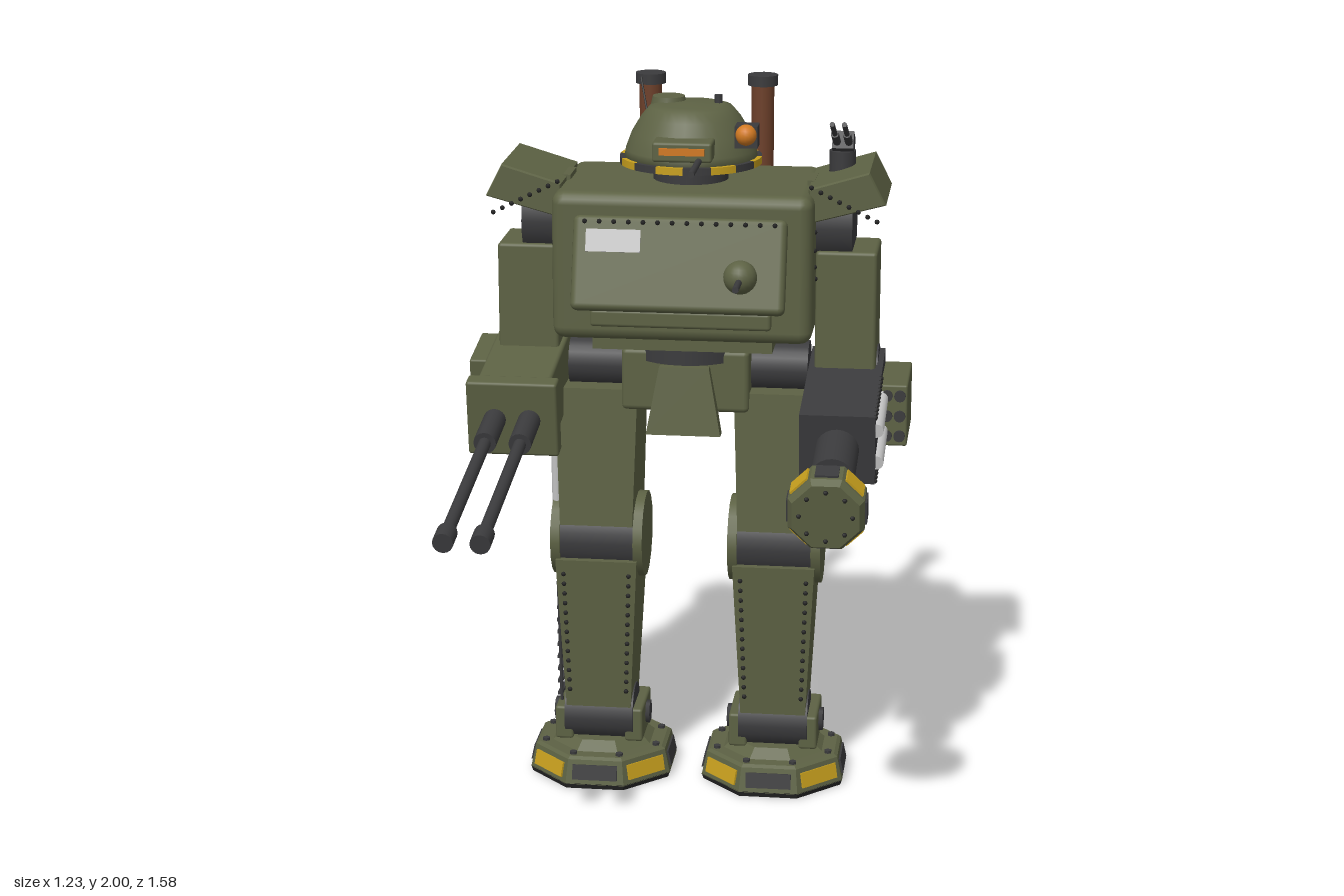
import * as THREE from 'three';
import { RoundedBoxGeometry } from 'three/addons/geometries/RoundedBoxGeometry.js';

const mat = (name, color) => Object.assign(new THREE.MeshStandardMaterial({ color }), { name });
const olive = mat('olive', 0x5d6244), dark = mat('gunmetal', 0x3b3b3d), black = mat('black', 0x242424);
const yellow = mat('yellow', 0xc8a01e), steel = mat('steel', 0xc6c6c6), rust = mat('rust', 0x6d402a);
const copper = mat('copper', 0xa0633e), orange = mat('orange', 0xd27a22);

// ---- helpers ----
function add(parent, name, geo, m, x = 0, y = 0, z = 0) {
  const mesh = new THREE.Mesh(geo, m);
  mesh.name = name;
  mesh.position.set(x, y, z);
  parent.add(mesh);
  return mesh;
}
function group(parent, name, x = 0, y = 0, z = 0) {
  const g = new THREE.Group();
  g.name = name;
  g.position.set(x, y, z);
  parent.add(g);
  return g;
}
// box given by its limits
function box(p, name, m, x0, x1, y0, y1, z0, z1, r = 0) {
  const w = Math.abs(x1 - x0), h = y1 - y0, d = z1 - z0;
  const geo = r ? new RoundedBoxGeometry(w, h, d, 2, r) : new THREE.BoxGeometry(w, h, d);
  return add(p, name, geo, m, (x0 + x1) / 2, (y0 + y1) / 2, (z0 + z1) / 2);
}
// cylinder between two points
function rod(p, name, m, a, b, r, r2 = r, n = 16) {
  const A = new THREE.Vector3(...a), B = new THREE.Vector3(...b), d = B.clone().sub(A);
  const mesh = add(p, name, new THREE.CylinderGeometry(r2, r, d.length(), n), m);
  mesh.position.copy(A).add(B).multiplyScalar(0.5);
  mesh.quaternion.setFromUnitVectors(new THREE.Vector3(0, 1, 0), d.normalize());
  return mesh;
}
// box whose lower end has its own size and z shift
function taper(p, name, m, x, yTop, yBot, top, bot) {
  const geo = new THREE.BoxGeometry(1, 1, 1), v = geo.attributes.position;
  for (let i = 0; i < v.count; i++) {
    const [w, z0, z1] = v.getY(i) > 0 ? top : bot;
    v.setXYZ(i, v.getX(i) * w, v.getY(i) > 0 ? yTop : yBot, v.getZ(i) > 0 ? z1 : z0);
  }
  geo.computeVertexNormals();
  return add(p, name, geo, m, x);
}
// faceted eight-sided solid with a flat towards +z; profile is [apothem, y]
function octagon(p, name, m, profile) {
  const pts = profile.map(([r, y]) => new THREE.Vector2(r / Math.cos(Math.PI / 8), y));
  const geo = new THREE.LatheGeometry(pts, 8).rotateY(Math.PI / 8).toNonIndexed();
  geo.computeVertexNormals();
  return add(p, name, geo, m);
}
// alternating hazard panels around an octagon
function panels(p, radius, y, w, h, tilt, phase) {
  for (let i = 0; i < 8; i++) {
    const g = group(p, 'hazardPanel', 0, y, 0);
    g.rotation.y = i * Math.PI / 4;
    add(g, 'panel', new THREE.BoxGeometry(w, h, 0.009), (i + phase) % 2 ? yellow : dark, 0, 0, radius).rotation.x = tilt;
  }
}
const rivetGeo = new THREE.SphereGeometry(0.007, 6, 4);
function rivets(p, n, a, b) {
  for (let i = 0; i < n; i++) {
    const t = i / (n - 1);
    add(p, 'rivet', rivetGeo, black, ...a.map((v, k) => v + (b[k] - v) * t));
  }
}

function buildTorso(p) {
  box(p, 'torso', olive, -0.36, 0.36, 1.345, 1.76, -0.575, -0.11, 0.035);
  box(p, 'bellyStep', olive, -0.25, 0.25, 1.39, 1.44, -0.15, -0.09, 0.01);
  // sloping breast plate with label and ball gun
  const b = group(p, 'breastPlate', 0, 1.575, -0.07);
  b.rotation.x = -0.33;
  add(b, 'plate', new RoundedBoxGeometry(0.586, 0.26, 0.05, 2, 0.018), olive);
  add(b, 'label', new THREE.BoxGeometry(0.15, 0.062, 0.006), steel, -0.18, 0.06, 0.026);
  rivets(b, 14, [-0.26, 0.112, 0.025], [0.26, 0.112, 0.025]);
  add(p, 'ballMount', new THREE.SphereGeometry(0.046, 20, 14), olive, 0.172, 1.557, -0.025);
  rod(p, 'ballGun', dark, [0.172, 1.553, 0], [0.172, 1.553, 0.105], 0.009);
  // waist
  box(p, 'waistPlate', olive, -0.25, 0.25, 1.315, 1.36, -0.46, -0.14);
  add(p, 'waistRing', new THREE.CylinderGeometry(0.17, 0.17, 0.08, 28), dark, 0, 1.305, -0.34);
  box(p, 'pelvis', olive, -0.18, 0.18, 1.12, 1.30, -0.46, -0.21, 0.015);
  taper(p, 'groinFlap', olive, 0, 1.255, 1.065, [0.14, -0.23, -0.185], [0.21, -0.2, -0.16]);
  // pack with grille, stacks, canisters and pipes
  box(p, 'backpack', olive, -0.247, 0.247, 1.36, 1.705, -0.735, -0.55, 0.02);
  for (let i = 0; i < 8; i++) box(p, 'grilleSlat', dark, -0.2, 0.2, 1.41 + i * 0.03, 1.426 + i * 0.03, -0.745, -0.73);
  for (const s of [-1, 1]) {
    rod(p, 'exhaustStack', rust, [s * 0.163, 1.465, -0.745], [s * 0.163, 1.96, -0.745], 0.033);
    rod(p, 'exhaustCap', dark, [s * 0.163, 1.955, -0.745], [s * 0.163, 1.985, -0.745], 0.044);
    rod(p, 'canister', olive, [s * 0.3, 1.34, -0.692], [s * 0.3, 1.62, -0.692], 0.064, 0.064, 24);
    for (const y of [1.4, 1.56]) rod(p, 'canisterBand', olive, [s * 0.3, y, -0.692], [s * 0.3, y + 0.02, -0.692], 0.068, 0.068, 24);
    const path = new THREE.CurvePath(), q = [[0.24, 1.655, -0.685], [0.41, 1.5, -0.45], [0.42, 1.21, -0.435]].map(([x, y, z]) => new THREE.Vector3(x * s, y, z));
    path.add(new THREE.LineCurve3(q[0], q[1]));
    path.add(new THREE.LineCurve3(q[1], q[2]));
    add(p, 'copperPipe', new THREE.TubeGeometry(path, 24, 0.012, 10), copper);
    add(p, 'pipeElbow', new THREE.SphereGeometry(0.014, 10, 8), copper, ...q[1].toArray());
  }
}

function buildTurret(p) {
  const t = group(p, 'turret', 0, 0, -0.353);
  add(t, 'neck', new THREE.CylinderGeometry(0.105, 0.105, 0.07, 24), dark, 0, 1.785, 0);
  const prof = [[0, 1.81], [0.188, 1.81], [0.182, 1.845], [0.165, 1.89], [0.138, 1.935], [0.115, 1.962], [0.09, 1.969], [0, 1.972]];
  add(t, 'dome', new THREE.LatheGeometry(prof.map(a => new THREE.Vector2(...a)), 32), olive);
  for (let i = 0; i < 16; i++) // striped ring
    add(t, 'ringStripe', new THREE.CylinderGeometry(0.198, 0.198, 0.02, 4, 1, false, i * Math.PI / 8, Math.PI / 8), i % 2 ? yellow : dark, 0, 1.815, 0);
  box(t, 'visor', olive, -0.082, 0.082, 1.845, 1.9, 0.1, 0.222, 0.008);
  box(t, 'visorSlit', orange, -0.062, 0.062, 1.865, 1.885, 0.219, 0.226);
  rod(t, 'turretGun', dark, [0.046, 1.85, 0.15], [0.046, 1.85, 0.4], 0.009);
  box(t, 'lampHousing', dark, 0.137, 0.199, 1.875, 1.935, 0.085, 0.15);
  add(t, 'lamp', new THREE.SphereGeometry(0.029, 16, 12), orange, 0.168, 1.912, 0.15);
  rod(t, 'hatch', olive, [-0.067, 1.96, -0.04], [-0.067, 1.982, -0.04], 0.05, 0.045, 20);
  rod(t, 'periscope', dark, [0.075, 1.95, -0.015], [0.075, 1.992, -0.015], 0.011);
  rod(t, 'whipAntenna', black, [-0.138, 1.9, -0.137], [-0.168, 2, -0.217], 0.003, 0.003, 6);
}

function buildShoulder(p, s) {
  const shape = new THREE.Shape([[0.345, 1.765], [0.505, 1.813], [0.548, 1.73], [0.35, 1.677]].map(([x, y]) => new THREE.Vector2(s * x, y)));
  add(p, 'shoulderPad', new THREE.ExtrudeGeometry(shape, { depth: 0.296, bevelSize: 0.004, bevelThickness: 0.007, bevelSegments: 1 }), olive, 0, 0, -0.493);
  rivets(p, 8, [s * 0.53, 1.685, -0.181], [s * 0.35, 1.775, -0.181]);
  rod(p, 'shoulderJoint', dark, [s * 0.34, 1.65, -0.342], [s * 0.46, 1.65, -0.342], 0.115, 0.115, 24);
  box(p, 'collarPlate', olive, s * 0.33, s * 0.352, 1.74, 1.772, -0.4, -0.29);
  for (let i = 0; i < 16; i++) { // bolts around the joint
    const a = i * Math.PI / 8;
    add(p, 'jointBolt', rivetGeo, black, s * 0.36, 1.6 + 0.16 * Math.sin(a) * 0.8, -0.342 + 0.16 * Math.cos(a));
  }
  box(p, 'upperArm', olive, s * 0.36, s * 0.53, 1.24, 1.585, -0.435, -0.235, 0.01);
  rod(p, 'elbow', dark, [s * 0.36, 1.22, -0.335], [s * 0.535, 1.22, -0.335], 0.08, 0.08, 20);
}

function buildGunArm(p) {
  const g = group(p, 'gunArm', -0.449, 1.203, -0.33);
  g.rotation.x = 0.14;
  box(g, 'gunBox', olive, -0.102, 0.102, -0.1, 0.1, -0.1, 0.32, 0.01);
  box(g, 'gunFrontPlate', olive, -0.126, 0.126, -0.108, 0.108, 0.31, 0.366, 0.008);
  box(g, 'ammoBox', olive, -0.151, -0.1, -0.035, 0.09, -0.03, 0.17, 0.006);
  for (const x of [-0.048, 0.048]) {
    rod(g, 'barrelSleeve', dark, [x, 0, 0.35], [x, 0, 0.525], 0.031);
    rod(g, 'barrel', dark, [x, 0, 0.5], [x, 0, 1.1], 0.017);
    rod(g, 'muzzle', dark, [x, 0, 1.065], [x, 0, 1.13], 0.027);
  }
}

function buildFistArm(p) {
  const g = group(p, 'fistArm', 0.447, 1.163, -0.3);
  g.rotation.x = 0.148;
  box(g, 'forearm', dark, -0.103, 0.103, -0.1, 0.1, -0.1, 0.37);
  for (const y of [-0.095, 0.095]) rivets(g, 11, [0.103, y, 0.1], [0.103, y, 0.36]);
  for (const y of [-0.045, 0.05]) rod(g, 'sidePiston', steel, [0.105, y, 0.08], [0.105, y, 0.35], 0.02);
  rod(g, 'ram', dark, [0, 0, 0.36], [0, 0, 0.555], 0.06, 0.06, 24);
  rod(g, 'ramPiston', steel, [0, 0, 0.54], [0, 0, 0.66], 0.032);
  rod(g, 'fistCollar', dark, [0, 0, 0.635], [0, 0, 0.67], 0.065, 0.077, 20);
  const f = group(g, 'fist', 0, 0, 0.655);
  f.rotation.x = Math.PI / 2;
  octagon(f, 'drum', olive, [[0, 0], [0.082, 0], [0.1, 0.025], [0.1, 0.105], [0.088, 0.125], [0, 0.125]]);
  panels(f, 0.101, 0.065, 0.062, 0.062, 0, 0);
  for (let i = 0; i < 8; i++)
    add(f, 'fistBolt', rivetGeo, black, 0.07 * Math.sin(i * Math.PI / 4), 0.125, 0.07 * Math.cos(i * Math.PI / 4));
  // rocket box beside the forearm
  box(p, 'rocketBox', olive, 0.545, 0.625, 1.055, 1.23, -0.42, -0.165, 0.006);
  for (const x of [0.568, 0.604]) for (const y of [1.085, 1.142, 1.2])
    rod(p, 'rocketTube', dark, [x, y, -0.2], [x, y, -0.155], 0.016, 0.016, 12);
  // small twin gun on top of the shoulder
  rod(p, 'twinGunBase', dark, [0.42, 1.77, -0.39], [0.42, 1.84, -0.39], 0.037);
  box(p, 'twinGunBody', dark, 0.393, 0.452, 1.835, 1.885, -0.425, -0.35).rotation.x = -0.45;
  for (const x of [0.406, 0.439]) {
    rod(p, 'twinGunSleeve', dark, [x, 1.862, -0.37], [x, 1.91, -0.26], 0.011, 0.011, 10);
    rod(p, 'twinGunBarrel', dark, [x, 1.862, -0.37], [x, 1.957, -0.15], 0.007, 0.007, 10);
  }
}

function buildLeg(p, s) {
  const g = group(p, s > 0 ? 'leftLeg' : 'rightLeg', s * 0.254, 0, 0);
  rod(g, 'hipJoint', dark, [-s * 0.09, 1.23, -0.34], [s * 0.085, 1.23, -0.34], 0.073, 0.073, 24);
  taper(g, 'thigh', olive, 0, 1.175, 0.775, [0.235, -0.455, -0.225], [0.208, -0.463, -0.203]);
  rod(g, 'thighPistonFront', steel, [s * 0.122, 1.07, -0.255], [s * 0.122, 0.78, -0.275], 0.014);
  rod(g, 'thighPistonBack', steel, [s * 0.122, 1.07, -0.395], [s * 0.122, 0.78, -0.425], 0.014);
  rod(g, 'kneeAxle', dark, [-0.116, 0.72, -0.318], [0.116, 0.72, -0.318], 0.115, 0.115, 24);
  for (const k of [-1, 1]) {
    rod(g, 'kneeDisc', olive, [k * 0.105, 0.722, -0.318], [k * 0.132, 0.722, -0.318], 0.124, 0.124, 16);
    rivets(g, 13, [k * 0.094, 0.63, -0.193], [k * 0.082, 0.27, -0.214]);
    box(g, 'ankleBracket', olive, k * 0.075, k * 0.128, 0.11, 0.21, -0.42, -0.225, 0.008);
    rod(g, 'ankleBolt', dark, [k * 0.12, 0.17, -0.32], [k * 0.14, 0.17, -0.32], 0.034, 0.034, 6);
  }
  taper(g, 'shin', olive, 0, 0.672, 0.14, [0.234, -0.445, -0.192], [0.18, -0.4, -0.23]);
  rod(g, 'anklePin', dark, [-0.1, 0.178, -0.3], [0.1, 0.178, -0.3], 0.085, 0.085, 20);
  rod(g, 'calfPiston', steel, [0, 0.66, -0.463], [0, 0.36, -0.463], 0.018);
  rod(g, 'calfCylinder', dark, [0, 0.385, -0.46], [0, 0.19, -0.46], 0.026);
  box(g, 'calfMount', olive, -0.02, 0.02, 0.6, 0.64, -0.46, -0.42);
  if (s < 0) { // ladder on the outer shin
    for (const z of [-0.36, -0.28]) rod(g, 'ladderRail', dark, [-0.124, 0.64, z], [-0.116, 0.21, z], 0.005, 0.005, 6);
    for (let i = 0; i < 11; i++) box(g, 'ladderRung', dark, -0.128, -0.114, 0.225 + i * 0.038, 0.234 + i * 0.038, -0.36, -0.28);
  }
  // foot
  const f = group(g, 'foot', s * -0.002, 0, -0.32);
  octagon(f, 'sole', black, [[0, 0], [0.2, 0], [0.205, 0.016], [0, 0.016]]);
  octagon(f, 'footBody', olive, [[0, 0.014], [0.205, 0.014], [0.19, 0.085], [0.18, 0.092], [0, 0.092]]);
  octagon(f, 'footTop', olive, [[0, 0.09], [0.145, 0.09], [0.115, 0.118], [0, 0.118]]);
  panels(f, 0.1985, 0.05, 0.13, 0.044, -0.21, 0);
  for (let i = 0; i < 8; i++) {
    const a = (i + 0.5) * Math.PI / 4;
    rod(f, 'footBolt', dark, [0.175 * Math.sin(a), 0.085, 0.175 * Math.cos(a)], [0.175 * Math.sin(a), 0.1, 0.175 * Math.cos(a)], 0.011, 0.011, 6);
  }
}

export function createModel() {
  const root = new THREE.Group();
  root.name = 'walker';
  const body = group(root, 'body', -0.016, 0, 0);
  buildTorso(body);
  buildTurret(body);
  for (const s of [-1, 1]) {
    buildShoulder(body, s);
    buildLeg(body, s);
  }
  buildGunArm(body);
  buildFistArm(body);
  return root;
}
